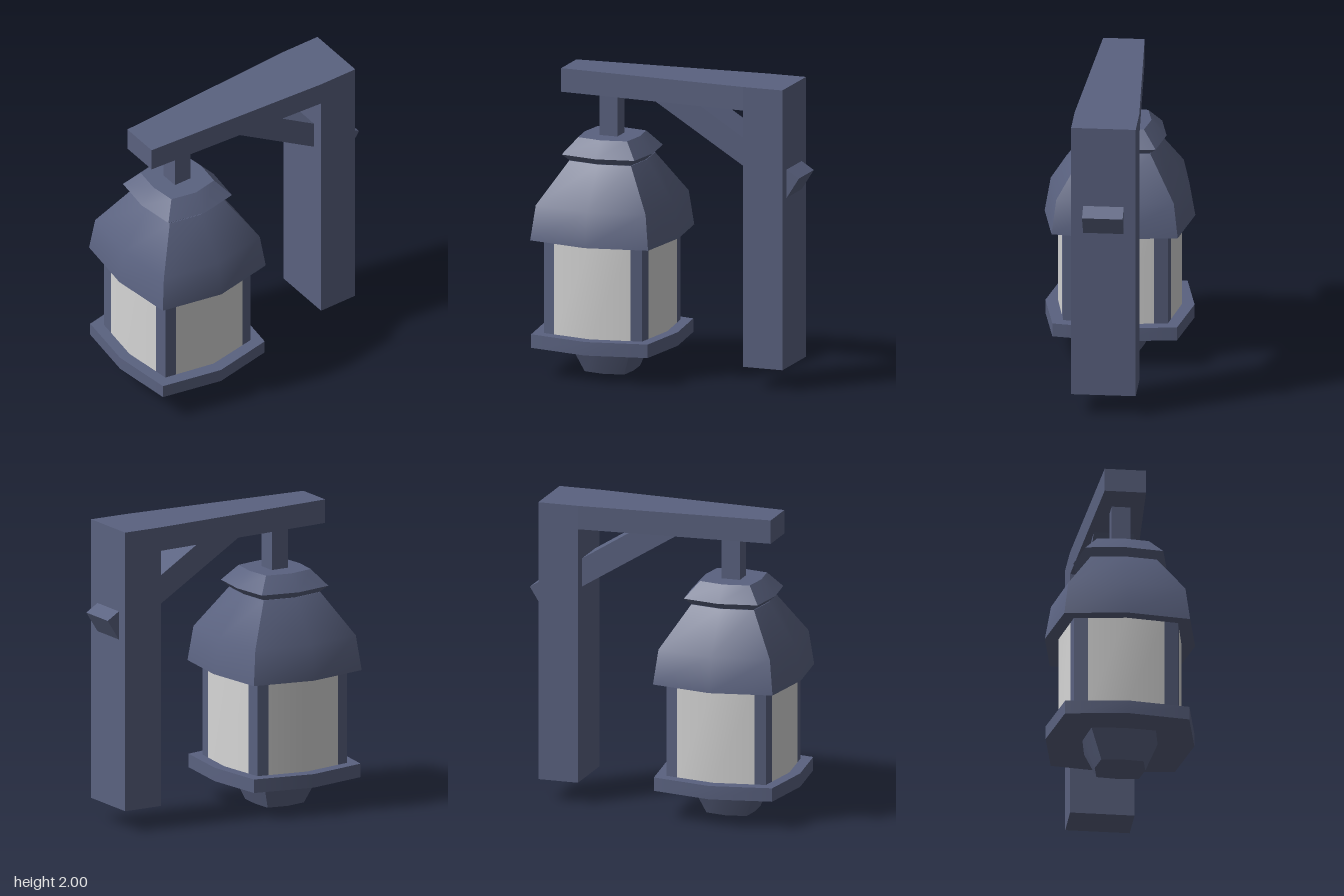
import * as THREE from 'three';
import { toCreasedNormals } from 'three/addons/utils/BufferGeometryUtils.js';

const LANTERN_Z = 0.444;
const metal = new THREE.MeshStandardMaterial({ color: 0x5a6280 });
metal.name = 'slate blue metal';
const glass = new THREE.MeshStandardMaterial({ color: 0xd6d6d6, side: THREE.DoubleSide });
glass.name = 'frosted glass';

// Bowed square outline: side midpoints at mx / mz, corners at c
const outline = (mx, mz, c) => [
  [0, mz], [c, c], [mx, 0], [c, -c], [0, -mz], [-c, -c], [-mx, 0], [-c, c],
];

function mesh(name, geometry, material = metal) {
  const m = new THREE.Mesh(geometry, material);
  m.name = name;
  return m;
}

function indexed(positions, index) {
  const g = new THREE.BufferGeometry();
  g.setAttribute('position', new THREE.Float32BufferAttribute(positions, 3));
  g.setIndex(index);
  g.computeVertexNormals();
  return g;
}

// Closed solid through rings [y, mx, mz, corner], listed from bottom to top
function loft(rings) {
  const pos = [], idx = [], n = 8, last = (rings.length - 1) * n;
  for (const [y, mx, mz, c] of rings)
    for (const [x, z] of outline(mx, mz, c)) pos.push(x, y, z);
  const low = pos.length / 3, high = low + 1;
  pos.push(0, rings[0][0], 0, 0, rings[rings.length - 1][0], 0);
  for (let i = 0; i < n; i++) {
    const j = (i + 1) % n;
    for (let r = 0; r < last; r += n)
      idx.push(r + i, r + j, r + n + j, r + i, r + n + j, r + n + i);
    idx.push(low, j, i, high, last + i, last + j);
  }
  return toCreasedNormals(indexed(pos, idx), 0.6);
}

// Upright open strip along a plan path
function strip(path, y0, y1) {
  const pos = [], idx = [];
  path.forEach(([x, z], i) => {
    pos.push(x, y0, z, x, y1, z);
    if (i) {
      const a = 2 * i - 2;
      idx.push(a, a + 2, a + 3, a, a + 3, a + 1);
    }
  });
  return indexed(pos, idx);
}

function extrude(points, depth) {
  const shape = new THREE.Shape(points.map(([x, y]) => new THREE.Vector2(x, y)));
  return new THREE.ExtrudeGeometry(shape, { depth, bevelEnabled: false });
}

function box(name, w, y0, y1, z0, z1) {
  const m = mesh(name, new THREE.BoxGeometry(w, y1 - y0, z1 - z0));
  m.position.set(0, (y0 + y1) / 2, (z0 + z1) / 2);
  return m;
}

function createLantern() {
  const lantern = new THREE.Group();
  lantern.name = 'lantern';
  lantern.position.z = LANTERN_Z;
  lantern.add(
    mesh('bottomFinial', loft([[0, 0.165, 0.15, 0.138], [0.19, 0.245, 0.228, 0.21]])),
    mesh('basePlate', loft([[0.19, 0.485, 0.457, 0.405], [0.28, 0.485, 0.457, 0.405]])),
    mesh('hood', loft([
      [0.905, 0.49, 0.463, 0.41], [1.135, 0.45, 0.425, 0.382], [1.41, 0.255, 0.24, 0.215],
    ])),
    mesh('cap', loft([
      [1.41, 0.25, 0.235, 0.21], [1.455, 0.303, 0.286, 0.253], [1.56, 0.205, 0.192, 0.17],
    ])),
  );

  // Glass panels between the corner posts, flush with them
  const ring = outline(0.402, 0.383, 0.34);
  const mix = (a, b, t) => [a[0] + (b[0] - a[0]) * t, a[1] + (b[1] - a[1]) * t];
  for (let i = 0; i < 8; i += 2) {
    const before = ring[(i + 7) % 8], mid = ring[i], corner = ring[i + 1], next = ring[(i + 2) % 8];
    const t = i % 4 === 0 ? 0.735 : 0.78;
    const u = i % 4 === 0 ? 0.78 : 0.735;
    const a = mix(mid, corner, t), b = mix(next, corner, u);
    lantern.add(
      mesh('glassPanel', strip([mix(mid, before, t), mid, mix(mid, corner, t)], 0.28, 0.905), glass),
      mesh('cornerPost', toCreasedNormals(strip([a, corner, b], 0.28, 0.905), 0.6)),
    );
  }
  return lantern;
}

function createBracket() {
  const bracket = new THREE.Group();
  bracket.name = 'wallBracket';
  // Tapered arm, drawn in plan with shape y = -z
  const arm = extrude([[-0.135, -0.746], [0.135, -0.746], [0.21, 0.55], [-0.21, 0.55]], 0.157);
  arm.rotateX(-Math.PI / 2).translate(0, 1.843, 0);
  // Diagonal brace, drawn in side profile (z, y), poking out behind the post
  const brace = extrude(
    [[0.2, 1.9], [-0.11, 1.9], [-0.907, 1.405], [-0.822, 1.27]], 0.264);
  brace.rotateY(-Math.PI / 2).translate(0.132, 0, 0);
  bracket.add(
    box('wallPost', 0.42, 0.14, 2, -0.822, -0.55),
    mesh('arm', arm),
    mesh('brace', brace),
    box('hangerStem', 0.125, 1.55, 1.85, 0.384, 0.509),
  );
  return bracket;
}

export function createModel() {
  const model = new THREE.Group();
  model.name = 'wallLantern';
  model.add(createBracket(), createLantern());
  return model;
}
